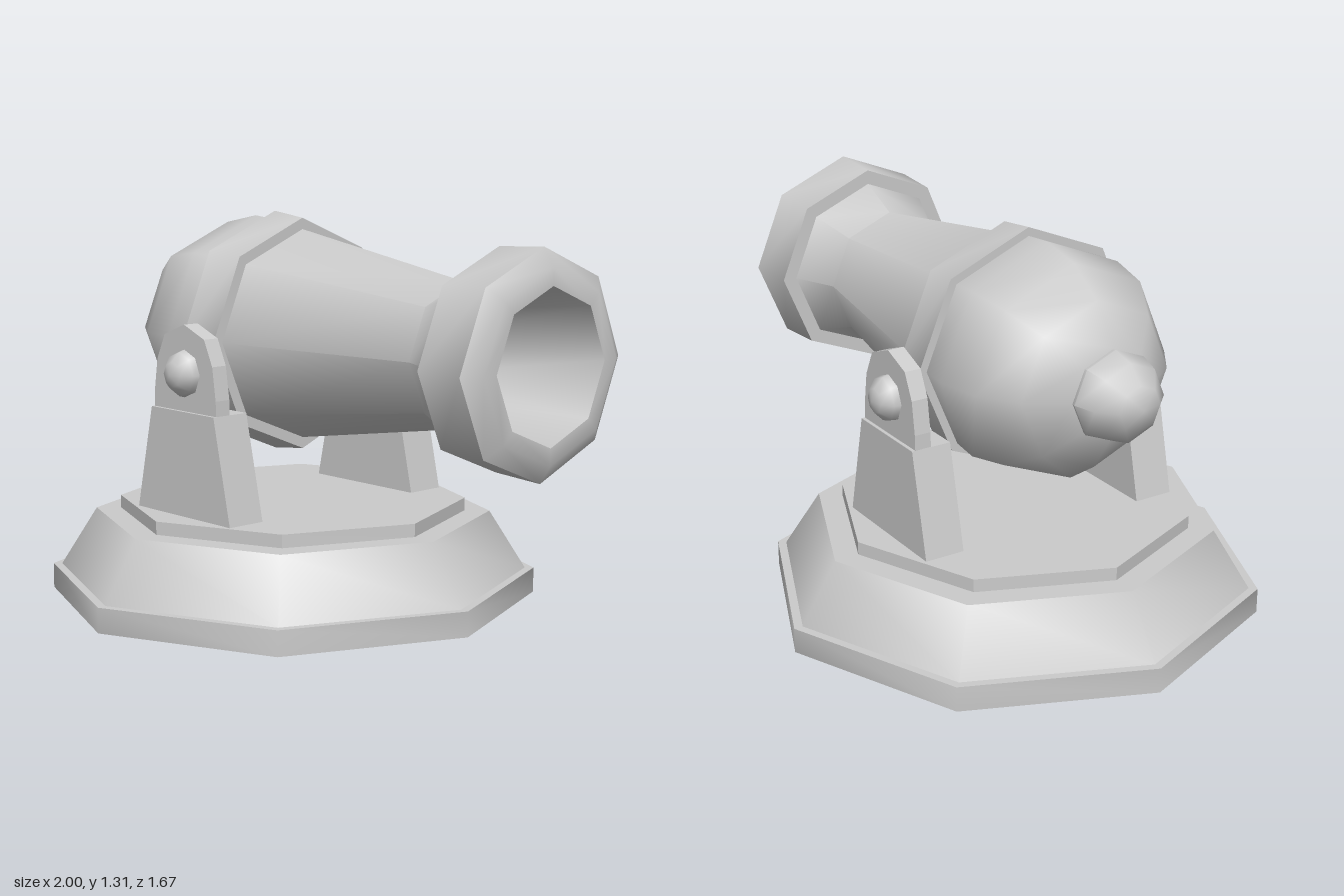
import * as THREE from 'three';
import { toCreasedNormals } from 'three/addons/utils/BufferGeometryUtils.js';

const PIVOT_X = -0.165, AXIS_Y = 0.9, AXIS_Z = -0.007;
const SMOOTH = 0.85; // keeps the eight sides smooth, profile corners sharp

const material = new THREE.MeshStandardMaterial({ color: 0xcccccc });
const openMaterial = new THREE.MeshStandardMaterial({ color: 0xcccccc, side: THREE.DoubleSide });

function part(name, geometry, mat = material) {
  const mesh = new THREE.Mesh(geometry, mat);
  mesh.name = name;
  return mesh;
}

// Eight-sided turned shape; the profile is [height, radius] pairs
function turned(profile, crease = SMOOTH) {
  const points = profile.map(([h, r]) => new THREE.Vector2(r, h));
  return toCreasedNormals(new THREE.LatheGeometry(points, 8), crease);
}

// The same, lying along +x on the barrel axis
function turnedAlongX(profile, crease) {
  return turned(profile, crease).rotateZ(-Math.PI / 2).translate(0, AXIS_Y, AXIS_Z);
}

// Flat plate from an outline in x and y, centred on z = 0
function plate(outline, depth) {
  const shape = new THREE.Shape(outline.map(([x, y]) => new THREE.Vector2(x, y)));
  return new THREE.ExtrudeGeometry(shape, { depth, bevelEnabled: false }).translate(0, 0, -depth / 2);
}

function createBase() {
  const base = new THREE.Group();
  base.name = 'base';
  // Hollow skirt, open underneath
  base.add(part('skirt', turned([
    [0, 0.835], [0.085, 0.835], [0.085, 0.805], [0.285, 0.68], [0.285, 0],
  ]), openMaterial));
  // Raised platform with flat sides
  base.add(part('platform', turned([[0.286, 0.595], [0.33, 0.595], [0.33, 0]], 0.5)));
  base.position.set(PIVOT_X, 0, AXIS_Z);
  return base;
}

function createBarrel() {
  const barrel = new THREE.Group();
  barrel.name = 'barrel';
  // Rounded breech, tapered tube, muzzle ring and bore in one profile
  barrel.add(part('tube', turnedAlongX([
    [-0.71, 0], [-0.71, 0.15], [-0.625, 0.275], [-0.5, 0.36], [-0.35, 0.39], [-0.24, 0.38],
    [-0.11, 0.355], [0.63, 0.233], [0.78, 0.3], [0.78, 0.35], [0.96, 0.36],
    [1, 0.3], [1, 0.245], [0.3, 0.145], [0.3, 0],
  ])));
  // Reinforcing band
  barrel.add(part('band', turnedAlongX([
    [-0.25, 0.36], [-0.25, 0.41], [-0.11, 0.393], [-0.11, 0.34],
  ])));
  // Knob at the breech
  const knob = [];
  for (let i = 0; i <= 6; i++) {
    const a = (i / 6) * Math.PI;
    knob.push([-0.725 - 0.15 * Math.cos(a), 0.15 * Math.sin(a)]);
  }
  barrel.add(part('breechKnob', turnedAlongX(knob)));
  return barrel;
}

// Support bracket for the +z side (side = 1) or the -z side (side = -1)
function createBracket(side) {
  const bracket = new THREE.Group();
  bracket.name = side > 0 ? 'frontBracket' : 'backBracket';

  const foot = part('bracketFoot', plate(
    [[-0.25, 0.275], [0.25, 0.275], [0.16, 0.68], [-0.16, 0.68]], 0.139));
  foot.position.z = side * 0.4125;

  const ear = part('bracketEar', plate([
    [-0.16, 0.66], [0.16, 0.66], [0.158, 0.73], [0.142, 0.84], [0.102, 0.925],
    [0, 0.965], [-0.102, 0.925], [-0.142, 0.84], [-0.158, 0.73],
  ], 0.057));
  ear.position.z = side * 0.4415;

  // Domed pivot cap on the outside
  const dome = new THREE.SphereGeometry(0.084, 8, 3, 0, Math.PI * 2, 0, Math.PI / 2);
  const cap = part('pivotCap', dome.rotateX(side * Math.PI / 2));
  cap.position.set(0, 0.805, side * 0.45);

  bracket.add(foot, ear, cap);
  bracket.position.set(PIVOT_X, 0, AXIS_Z);
  return bracket;
}

export function createModel() {
  const model = new THREE.Group();
  model.name = 'cannon';
  model.add(createBase(), createBarrel(), createBracket(1), createBracket(-1));
  return model;
}
